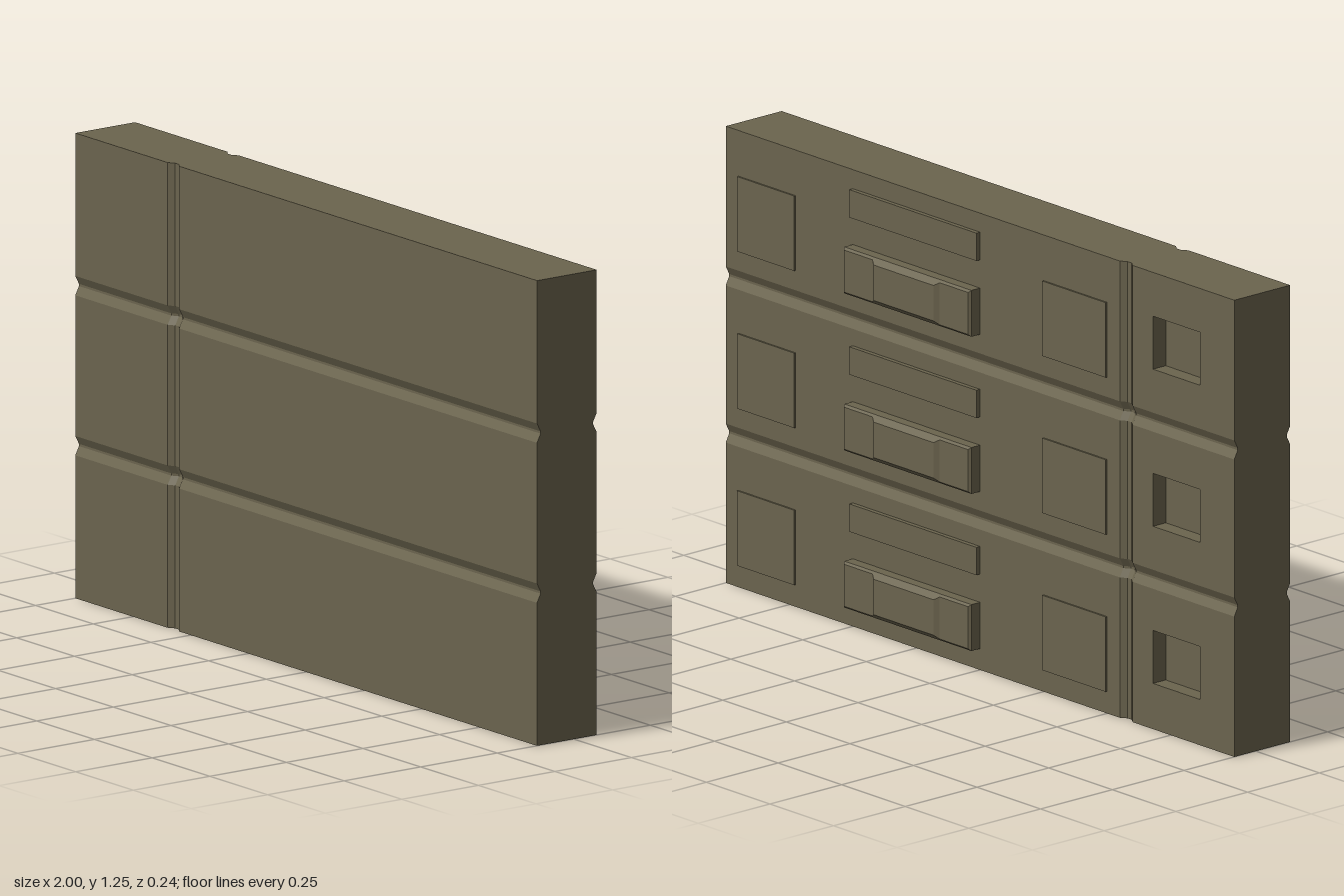
import * as THREE from 'three';

const FRONT = 0.12, BACK = -0.075, H = 1.25, ROW = 0.43;
const rows = [0, ROW, 2 * ROW];
const seamsY = [0.41, 0.84], seamX = -0.575;
const hole = { x0: -0.865, x1: -0.68, y0: 0.125, y1: 0.27, depth: 0.045 };

// Bevelled groove depth at a distance from its centre line
const groove = (d, flat, wide) =>
  0.012 * THREE.MathUtils.clamp((wide - Math.abs(d)) / (wide - flat), 0, 1);
const depthAt = (x, y) => groove(x - seamX, 0.008, 0.025) +
  Math.max(...seamsY.map(s => groove(y - s, 0.003, 0.026)));

// Grooved slab with square recesses in its back
function slabGeometry() {
  const xs = [-1, hole.x0, hole.x1, -0.6, -0.583, -0.567, -0.55, 1];
  const ys = [0, H];
  for (const s of seamsY) ys.push(s - 0.026, s - 0.003, s + 0.003, s + 0.026);
  for (const r of rows) ys.push(r + hole.y0, r + hole.y1);
  ys.sort((a, b) => a - b);
  const pos = [];
  const quad = (a, b, c, d) => pos.push(...a, ...b, ...c, ...a, ...c, ...d);
  const f = (x, y) => [x, y, FRONT - depthAt(x, y)];
  const b = (x, y) => [x, y, BACK + depthAt(x, y)];
  const inHole = (x, y) => x > hole.x0 && x < hole.x1 &&
    rows.some(r => y > r + hole.y0 && y < r + hole.y1);

  for (let i = 0; i < xs.length - 1; i++) {
    const x0 = xs[i], x1 = xs[i + 1];
    quad(f(x0, H), f(x1, H), b(x1, H), b(x0, H));
    quad(b(x0, 0), b(x1, 0), f(x1, 0), f(x0, 0));
    for (let j = 0; j < ys.length - 1; j++) {
      const y0 = ys[j], y1 = ys[j + 1];
      quad(f(x0, y0), f(x1, y0), f(x1, y1), f(x0, y1));
      if (!inHole((x0 + x1) / 2, (y0 + y1) / 2)) {
        quad(b(x1, y0), b(x0, y0), b(x0, y1), b(x1, y1));
      }
    }
  }
  for (let j = 0; j < ys.length - 1; j++) {
    const y0 = ys[j], y1 = ys[j + 1];
    quad(f(1, y0), b(1, y0), b(1, y1), f(1, y1));
    quad(b(-1, y0), f(-1, y0), f(-1, y1), b(-1, y1));
  }
  // Recess floors and walls
  for (const r of rows) {
    const { x0, x1 } = hole, y0 = r + hole.y0, y1 = r + hole.y1;
    const c = [[x1, y0], [x0, y0], [x0, y1], [x1, y1]];
    const rim = c.map(p => [...p, BACK]);
    const floor = c.map(p => [...p, BACK + hole.depth]);
    quad(...floor);
    for (let k = 0; k < 4; k++) {
      const n = (k + 1) % 4;
      quad(rim[k], rim[n], floor[n], floor[k]);
    }
  }
  const geo = new THREE.BufferGeometry();
  geo.setAttribute('position', new THREE.Float32BufferAttribute(pos, 3));
  geo.computeVertexNormals();
  return geo;
}

// Box between two corners, with its back face inset by a bevel
function block(x0, x1, y0, y1, zBack, zFront, insetX = 0, insetY = insetX) {
  const w = x1 - x0, h = y1 - y0, d = zFront - zBack;
  const geo = new THREE.BoxGeometry(w, h, d);
  const p = geo.attributes.position;
  for (let i = 0; i < p.count; i++) {
    if (p.getZ(i) < 0) {
      p.setX(i, p.getX(i) * (1 - 2 * insetX / w));
      p.setY(i, p.getY(i) * (1 - 2 * insetY / h));
    }
  }
  geo.translate((x0 + x1) / 2, (y0 + y1) / 2, (zBack + zFront) / 2);
  geo.computeVertexNormals();
  return geo;
}

export function createModel() {
  const group = new THREE.Group();
  const material = new THREE.MeshStandardMaterial({ color: 0x6b644e });
  const add = (parent, name, geo) => {
    const mesh = new THREE.Mesh(geo, material);
    mesh.name = name;
    parent.add(mesh);
  };
  add(group, 'groovedPanel', slabGeometry());

  // Fittings repeated on the back of every row
  rows.forEach((y, i) => {
    const row = new THREE.Group();
    row.name = `rowFittings${i + 1}`;
    row.position.y = y;
    add(row, 'outerPlate', block(0.725, 0.95, 0.06, 0.265, -0.08, BACK));
    add(row, 'innerPlate', block(-0.5, -0.25, 0.06, 0.265, -0.08, BACK));
    add(row, 'narrowBar', block(0, 0.5, 0.262, 0.338, -0.088, BACK));
    add(row, 'handleBase', block(0, 0.5, 0.058, 0.185, -0.105, BACK));
    add(row, 'handleBevel', block(0, 0.5, 0.058, 0.185, -0.111, -0.105, 0.006));
    add(row, 'handleGrip', block(0.118, 0.382, 0.064, 0.179, -0.12, -0.111, 0.014, 0.009));
    group.add(row);
  });
  return group;
}
